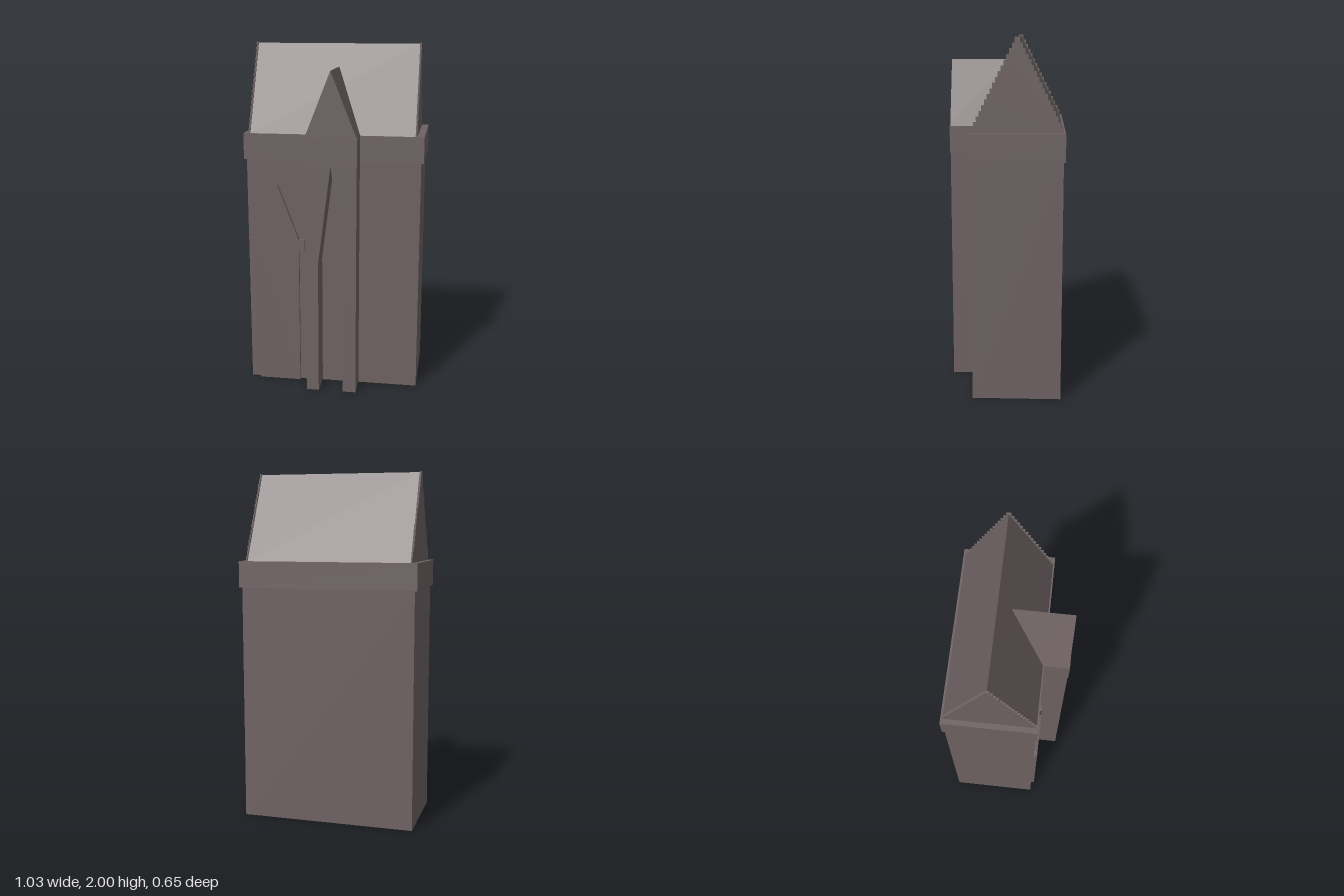
import * as THREE from 'three';

const material = new THREE.MeshStandardMaterial({ color: 0x6e6263, flatShading: true });

export function createModel() {
  const model = new THREE.Group();

  const add = (name, geometry) => {
    const mesh = new THREE.Mesh(geometry, material);
    mesh.name = name;
    model.add(mesh);
    return mesh;
  };

  // Box given by its extents on each axis
  const box = (name, x0, x1, y0, y1, z0, z1) =>
    add(name, new THREE.BoxGeometry(x1 - x0, y1 - y0, z1 - z0)
      .translate((x0 + x1) / 2, (y0 + y1) / 2, (z0 + z1) / 2));

  const outline = (points) => new THREE.Shape(points.map(([a, b]) => new THREE.Vector2(a, b)));
  const extrude = (points, depth) =>
    new THREE.ExtrudeGeometry(outline(points), { depth, bevelEnabled: false });

  // Outline in x, y extruded from z0 to z1
  const alongZ = (name, points, z0, z1) =>
    add(name, extrude(points, z1 - z0).translate(0, 0, z0));

  // Outline in z, y extruded from x0 to x1
  const alongX = (name, points, x0, x1) =>
    add(name, extrude(points.map(([z, y]) => [-z, y]), x1 - x0)
      .rotateY(Math.PI / 2).translate(x0, 0, 0));

  // Main block and its cornice
  box('body', -0.5, 0.5, 0, 1.35, -0.315, 0.18);
  box('cornice', -0.515, 0.515, 1.35, 1.5, -0.325, 0.188);

  // Main roof
  const ridgeZ = -0.067;
  alongX('mainRoof', [[0.18, 1.5], [ridgeZ, 1.995], [-0.314, 1.5]], -0.476, 0.466);

  // Stepped gables at both ends of the roof
  const steps = 17;
  const rise = 0.5 / steps;
  const frontEdge = [];
  const backEdge = [];
  for (let i = 0; i < steps; i++) {
    const half = THREE.MathUtils.lerp(0.247, 0.014, i / (steps - 1));
    for (const y of [1.5 + i * rise, 1.5 + (i + 1) * rise]) {
      frontEdge.push([ridgeZ + half, y]);
      backEdge.unshift([ridgeZ - half, y]);
    }
  }
  const gable = [...frontEdge, ...backEdge];
  alongX('rightGable', gable, -0.485, -0.475);
  alongX('leftGable', gable, 0.465, 0.475);

  // Projecting porch with a tall pointed opening
  alongZ('porchWalls', [
    [-0.135, 0], [-0.063, 0], [-0.063, 0.78], [0.01, 1.349], [0.08, 0.78],
    [0.08, 0], [0.155, 0], [0.155, 1.36], [-0.135, 1.36],
  ], 0.18, 0.321);
  box('porchCornice', -0.138, 0.157, 1.35, 1.5, 0.17, 0.325);
  alongZ('porchRoof', [[-0.136, 1.5], [0.156, 1.5], [0.01, 1.867]], 0, 0.321);

  // Raised pointed panel beside the porch
  alongZ('pointedPanel', [
    [-0.445, 0], [-0.198, 0], [-0.198, 0.82], [-0.165, 0.82], [-0.165, 0.885],
    [-0.198, 0.885], [-0.32, 1.205], [-0.445, 0.885], [-0.478, 0.885],
    [-0.478, 0.82], [-0.445, 0.82],
  ], 0.175, 0.2);

  return model;
}
